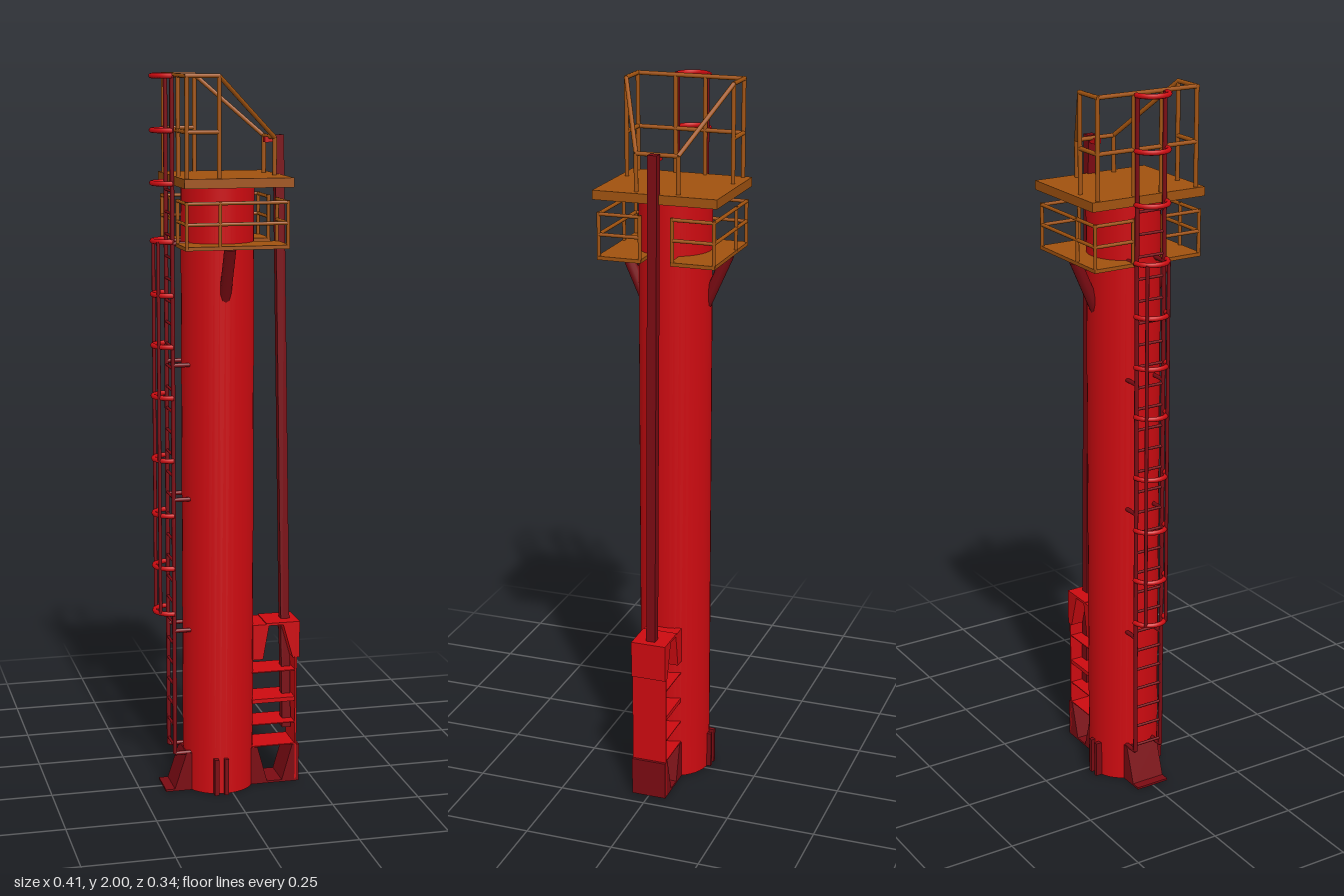
import * as THREE from 'three';

const mat = (c) => new THREE.MeshStandardMaterial({ color: c, side: THREE.DoubleSide });

export function createModel() {
  const model = new THREE.Group();
  const red = mat(0xcc0a10), dark = mat(0x7a0a12), brown = mat(0xa0520f);
  const V = (a) => new THREE.Vector3(...a);

  const add = (name, geo, m, parent = model) => {
    const mesh = new THREE.Mesh(geo, m);
    mesh.name = name;
    parent.add(mesh);
    return mesh;
  };
  const group = (name) => {
    const g = new THREE.Group();
    g.name = name;
    model.add(g);
    return g;
  };
  // Box given by its two extreme corners
  const box = (name, a, b, m, parent) =>
    add(name, new THREE.BoxGeometry(b[0] - a[0], b[1] - a[1], b[2] - a[2]), m, parent)
      .position.set((a[0] + b[0]) / 2, (a[1] + b[1]) / 2, (a[2] + b[2]) / 2);
  // Round bar between two points
  const bar = (name, a, b, r, m, parent) => {
    const p = V(a), d = V(b).sub(p);
    const mesh = add(name, new THREE.CylinderGeometry(r, r, d.length(), 10), m, parent);
    mesh.position.copy(p).addScaledVector(d, 0.5);
    mesh.quaternion.setFromUnitVectors(new THREE.Vector3(0, 1, 0), d.normalize());
  };
  // Profile in x and y, extruded along z
  const plate = (name, pts, z0, z1, m, parent) => {
    const shape = new THREE.Shape(pts.map((p) => new THREE.Vector2(...p)));
    const geo = new THREE.ExtrudeGeometry(shape, { depth: z1 - z0, bevelEnabled: false });
    add(name, geo.translate(0, 0, z0), m, parent);
  };

  // Main column
  add('column', new THREE.CylinderGeometry(0.1, 0.1, 1.71, 40), red).position.set(-0.02, 0.855, 0);

  // Top deck with its railing
  const deck = group('topDeck');
  box('deckPlate', [-0.148, 1.705, -0.172], [0.148, 1.73, 0.172], brown, deck);
  const R = 0.006;
  for (const s of [-1, 1]) {
    const zo = s * 0.15, zi = s * 0.058;
    bar('tallPost', [-0.137, 1.73, zo], [-0.137, 1.995, zo], R, brown, deck);
    bar('tallPost', [-0.05, 1.73, zo], [-0.05, 1.995, zo], R, brown, deck);
    bar('shortPost', [0.124, 1.73, zi], [0.124, 1.83, zi], R, brown, deck);
    bar('sideTopRail', [-0.142, 1.994, zo], [-0.047, 1.994, zo], R, brown, deck);
    bar('sideMidRail', [-0.137, 1.85, zo], [-0.05, 1.85, zo], R, brown, deck);
    bar('slopingRail', [-0.05, 1.994, zo], [0.124, 1.83, zi], R, brown, deck);
    bar('gatePost', [-0.137, 1.73, s * 0.042], [-0.137, 1.994, s * 0.042], R, brown, deck);
  }
  for (const y of [1.85, 1.994]) bar('ladderSideRail', [-0.137, y, -0.15], [-0.137, y, 0.15], R, brown, deck);
  bar('lowRail', [0.124, 1.83, -0.058], [0.124, 1.83, 0.058], R, brown, deck);

  // Front and back balconies under the deck
  for (const s of [-1, 1]) {
    const g = group(s > 0 ? 'frontBalcony' : 'backBalcony');
    const zi = s * 0.045, zo = s * 0.16;
    box('balconyFloor', [-0.145, 1.542, Math.min(zi, zo) - 0.004], [0.14, 1.552, Math.max(zi, zo) + 0.004], brown, g);
    for (const y of [1.61, 1.665]) {
      bar('outerRail', [-0.14, y, zo], [0.135, y, zo], 0.005, brown, g);
      for (const x of [-0.14, 0.135]) bar('endRail', [x, y, zi], [x, y, zo], 0.005, brown, g);
    }
    for (const [x, z] of [[-0.14, zi], [-0.14, zo], [-0.05, zo], [0.135, zo], [0.135, zi]])
      bar('balconyPost', [x, 1.547, z], [x, 1.67, z], 0.005, brown, g);
    bar('balconyStrut', [-0.02, 1.4, s * 0.085], [-0.02, 1.545, s * 0.15], 0.016, dark, g);
  }

  // Ladder with safety cage
  const ladder = group('ladder');
  for (const s of [-1, 1]) {
    bar('ladderRail', [-0.154, 0.11, s * 0.042], [-0.154, 1.995, s * 0.042], 0.006, dark, ladder);
    bar('cageStrip', [-0.191, 0.52, s * 0.033], [-0.191, 1.555, s * 0.033], 0.005, dark, ladder);
    for (const y of [0.11, 0.47, 0.845, 1.22, 1.55])
      bar('wallBracket', [-0.154, y, s * 0.042], [-0.1, y, s * 0.042], 0.006, dark, ladder);
  }
  for (let y = 0.13; y < 1.74; y += 0.06) bar('rung', [-0.154, y, -0.042], [-0.154, y, 0.042], 0.004, dark, ladder);
  for (const y of [0.52, 0.65, 0.8, 0.955, 1.13, 1.27, 1.41, 1.555, 1.71, 1.85, 1.993]) {
    const hoop = add('cageHoop', new THREE.TorusGeometry(0.046, 0.007, 8, 20, Math.PI), red, ladder);
    hoop.rotation.set(Math.PI / 2, 0, Math.PI / 2);
    hoop.position.set(-0.154, y, 0);
  }

  // Leaning pipe duct and its top connection
  plate('duct', [[0.167, 0.15], [0.192, 0.15], [0.162, 1.835], [0.137, 1.835]], -0.013, 0.013, dark);
  box('ductConnector', [0.11, 1.815, -0.01], [0.145, 1.83, 0.01], red);

  // Open cabinet around the foot of the duct
  const cab = group('ductCabinet');
  box('cabinetTop', [0.11, 0.468, -0.05], [0.207, 0.475, 0.05], red, cab);
  box('cabinetBase', [0.06, 0, -0.05], [0.207, 0.006, 0.05], dark, cab);
  box('outerWall', [0.194, 0.006, -0.05], [0.199, 0.47, 0.05], red, cab);
  plate('upperOuterBlock', [[0.158, 0.472], [0.207, 0.472], [0.207, 0.37], [0.187, 0.37]], -0.05, 0.05, red, cab);
  plate('upperInnerBlock', [[0.07, 0.37], [0.1, 0.37], [0.118, 0.472], [0.07, 0.472]], -0.05, 0.05, red, cab);
  plate('lowerOuterBlock', [[0.155, 0], [0.207, 0], [0.207, 0.11], [0.187, 0.11]], -0.05, 0.05, dark, cab);
  plate('lowerInnerBlock', [[0.06, 0], [0.115, 0], [0.085, 0.11], [0.06, 0.11]], -0.05, 0.05, dark, cab);
  for (const [y, t] of [[0.11, 0.003], [0.175, 0.003], [0.24, 0.012], [0.33, 0.003]])
    box('shelf', [0.07, y, -0.048], [0.196, y + t, 0.048], red, cab);

  // Stiffeners around the base
  plate('ladderFoot', [[-0.158, 0], [-0.1, 0], [-0.1, 0.11], [-0.122, 0.11]], -0.05, 0.05, dark);
  box('ladderFootPlate', [-0.182, 0, -0.05], [-0.1, 0.006, 0.05], dark);
  for (const s of [-1, 1])
    for (const x of [-0.048, -0.02])
      box('baseStiffener', [x - 0.006, 0, s > 0 ? 0.08 : -0.112], [x + 0.006, 0.105, s > 0 ? 0.112 : -0.08], dark);

  return model;
}
